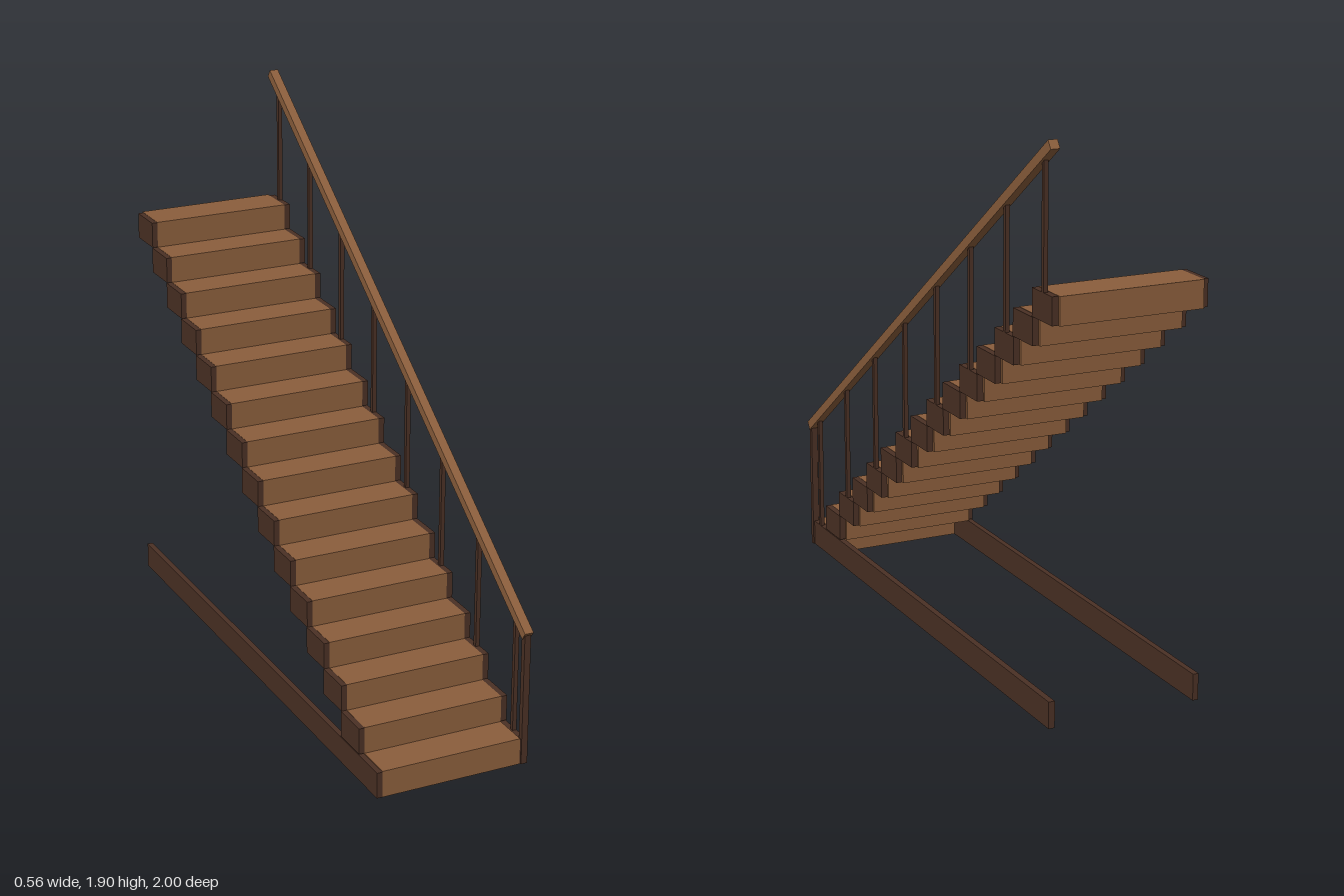
import * as THREE from 'three';

const STEPS = 15, RISE = 0.0945, RUN = 0.1315, FRONT = 0.987;

export function createModel() {
  const model = new THREE.Group();
  model.name = 'staircase';
  const wood = new THREE.MeshStandardMaterial({ color: 0x8b5e3c });
  const darkWood = new THREE.MeshStandardMaterial({ color: 0x4a3024 });

  // Box given by its minimum and maximum on each axis
  function box(name, material, [x0, x1], [y0, y1], [z0, z1]) {
    const mesh = new THREE.Mesh(new THREE.BoxGeometry(x1 - x0, y1 - y0, z1 - z0), material);
    mesh.position.set((x0 + x1) / 2, (y0 + y1) / 2, (z0 + z1) / 2);
    mesh.name = name;
    model.add(mesh);
    return mesh;
  }

  const sides = [['right', [-0.28, -0.26]], ['left', [0.246, 0.268]]];

  // Solid steps with a dark cheek at each end
  for (let i = 0; i < STEPS; i++) {
    const y = [i * RISE, (i + 1) * RISE];
    const z = FRONT - i * RUN;
    box('step', wood, [-0.26, 0.246], y, [z - 0.146, z]);
    if (i === 0) continue;
    for (const [side, x] of sides) {
      box(side + 'StepCheek', darkWood, x, [y[0] + 0.001, y[1] - 0.001], [z - 0.136, z]);
    }
  }

  // Long floor beams
  for (const [side, x] of sides) box(side + 'FloorBeam', darkWood, x, [0, 0.092], [-0.985, FRONT]);

  // Sloping handrail
  const start = new THREE.Vector3(0.262, 0.468, 0.989);
  const end = new THREE.Vector3(0.262, 1.885, -0.985);
  const rail = new THREE.Mesh(new THREE.BoxGeometry(0.032, 0.032, start.distanceTo(end)), wood);
  rail.name = 'handrail';
  rail.position.copy(start).lerp(end, 0.5);
  rail.rotation.x = Math.atan2(end.y - start.y, start.z - end.z);
  model.add(rail);
  const railY = (z) => start.y + (start.z - z) * (end.y - start.y) / (start.z - end.z);

  // Post at the foot, then a baluster on every second step
  box('newelPost', darkWood, [0.25, 0.273], [0, railY(0.981)], [0.971, 0.991]);
  for (let i = 0; i < STEPS; i += 2) {
    const z = 0.916 - i * RUN;
    box('baluster', darkWood, [0.253, 0.268], [(i + 1) * RISE - 0.01, railY(z)], [z - 0.0075, z + 0.0075]);
  }
  return model;
}
